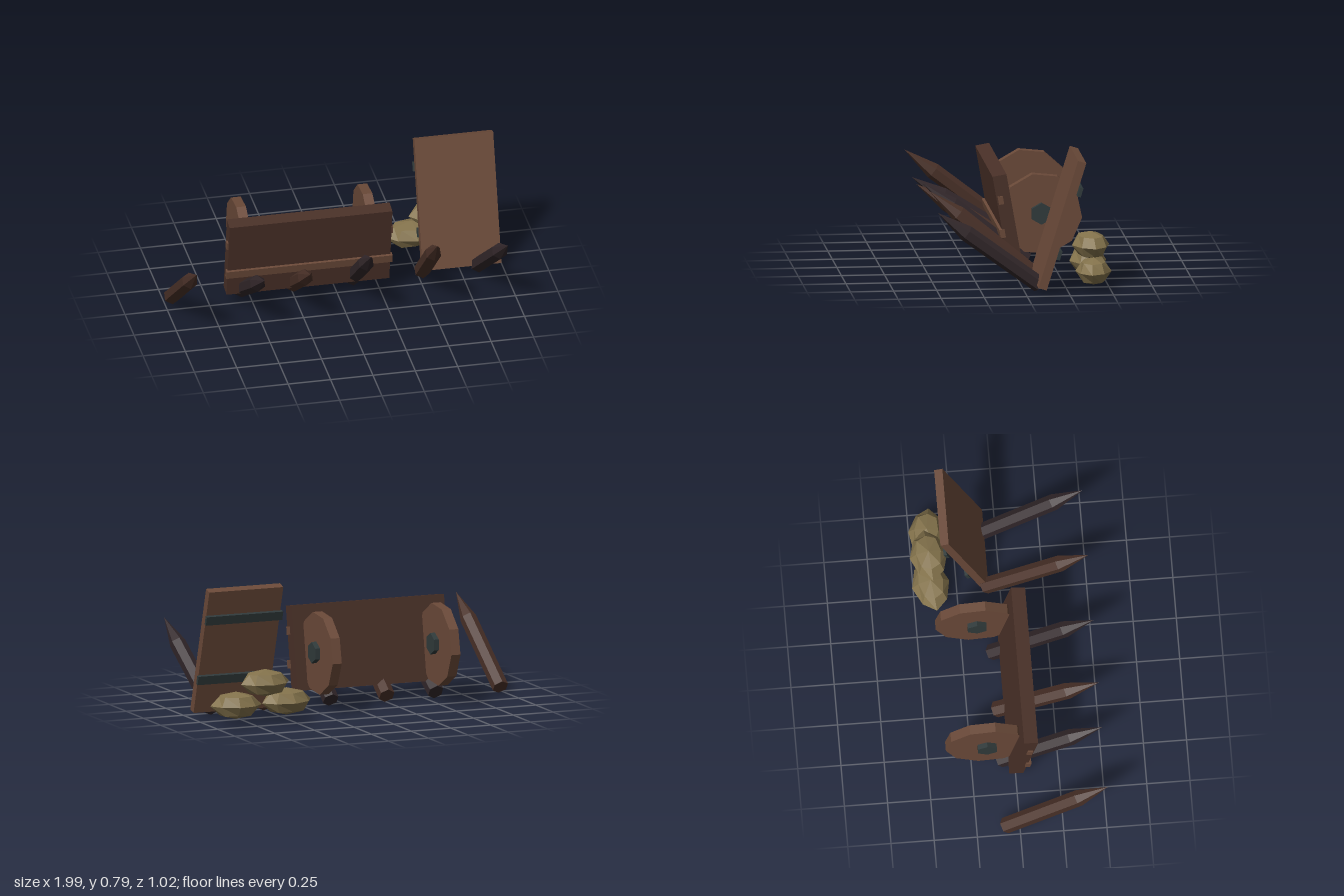
import * as THREE from 'three';

function material(name, color, flatShading = true) {
  const m = new THREE.MeshStandardMaterial({ color, flatShading });
  m.name = name;
  return m;
}

export function createModel() {
  const lightWood = material('light wood', 0x6b4a39);
  const darkWood = material('dark wood', 0x4a3128);
  const charredWood = material('charred wood', 0x32272a);
  const iron = material('dark iron', 0x303a3b);
  const sackcloth = material('sackcloth', 0x84734c);

  const model = new THREE.Group();
  model.name = 'barricade';

  function add(parent, name, geometry, mat, x = 0, y = 0, z = 0) {
    const mesh = new THREE.Mesh(geometry, mat);
    mesh.name = name;
    mesh.position.set(x, y, z);
    parent.add(mesh);
    return mesh;
  }
  function group(name, x, y, z, tilt) {
    const g = new THREE.Group();
    g.name = name;
    g.position.set(x, y, z);
    g.rotation.x = tilt;
    model.add(g);
    return g;
  }

  // Leaning cart bed with two cross battens
  const cart = group('cartBed', -0.18, 0.337, 0.045, 0.175);
  add(cart, 'cartPanel', new THREE.BoxGeometry(0.96, 0.495, 0.082), darkWood);
  const batten = new THREE.BoxGeometry(0.98, 0.048, 0.03);
  add(cart, 'upperBatten', batten, lightWood, 0, 0.103, 0.018);
  add(cart, 'lowerBatten', batten, lightWood, 0, -0.092, 0.042);

  // Ten-sided wheels with hexagonal iron hubs, axis along x
  const deg = Math.PI / 180;
  const wheel = new THREE.CylinderGeometry(0.24, 0.24, 0.057, 10, 1, false, 6 * deg).rotateZ(Math.PI / 2);
  const hub = new THREE.CylinderGeometry(0.063, 0.063, 0.117, 6, 1, false, 30 * deg).rotateZ(Math.PI / 2);
  for (const [side, x] of [['right', -0.542], ['left', 0.204]]) {
    add(model, side + 'Wheel', wheel, lightWood, x, 0.336, -0.16);
    add(model, side + 'Hub', hub, iron, x, 0.342, -0.16);
  }

  // Propped door with iron straps on its back
  const door = group('door', 0.752, 0.411, -0.205, -0.3);
  add(door, 'doorPanel', new THREE.BoxGeometry(0.465, 0.778, 0.05), lightWood);
  const strap = new THREE.BoxGeometry(0.48, 0.054, 0.02);
  add(door, 'upperStrap', strap, iron, 0, 0.216, -0.042);
  add(door, 'lowerStrap', strap, iron, 0, -0.172, -0.035);

  // Sharpened stakes: base x, tip x, tip height
  const stakes = [
    [-0.957, -0.935, 0.505], [-0.55, -0.535, 0.42], [-0.242, -0.265, 0.43],
    [0.11, 0.094, 0.503], [0.52, 0.485, 0.53], [0.852, 0.9, 0.485],
  ];
  const up = new THREE.Vector3(0, 1, 0);
  stakes.forEach(([baseX, tipX, tipY], i) => {
    const base = new THREE.Vector3(baseX, 0.042, -0.086);
    const dir = new THREE.Vector3(tipX, tipY, 0.51).sub(base);
    const length = dir.length();
    const profile = [[0, 0], [0.048, 0], [0.048, length - 0.21], [0, length]]
      .map(([r, y]) => new THREE.Vector2(r, y));
    const stake = add(model, 'stake' + (i + 1), new THREE.LatheGeometry(profile, 6),
      i % 2 ? charredWood : darkWood, base.x, base.y, base.z);
    stake.quaternion.setFromUnitVectors(up, dir.normalize());
  });

  // Lumpy sacks: a faceted ball with alternate vertices drawn in
  const sack = new THREE.SphereGeometry(1, 8, 4);
  const p = sack.attributes.position;
  for (let i = 0; i < p.count; i++) {
    const row = Math.floor(i / 9), column = i % 9;
    const s = row === 0 || row === 4 || (row + column) % 2 === 0 ? 1 : 0.93;
    p.setXYZ(i, p.getX(i) * s, p.getY(i) * s, p.getZ(i) * s);
  }
  const sacks = [
    ['innerSack', 0.525, 0.118, -0.4, 0.165, 0.11, 0.15],
    ['outerSack', 0.842, 0.115, -0.4, 0.153, 0.105, -0.15],
    ['topSack', 0.66, 0.235, -0.402, 0.158, 0.11, 0.1],
  ];
  for (const [name, x, y, z, halfX, halfZ, turn] of sacks) {
    const mesh = add(model, name, sack, sackcloth, x, y, z);
    mesh.scale.set(halfX, 0.08, halfZ);
    mesh.rotation.y = turn;
  }

  return model;
}
